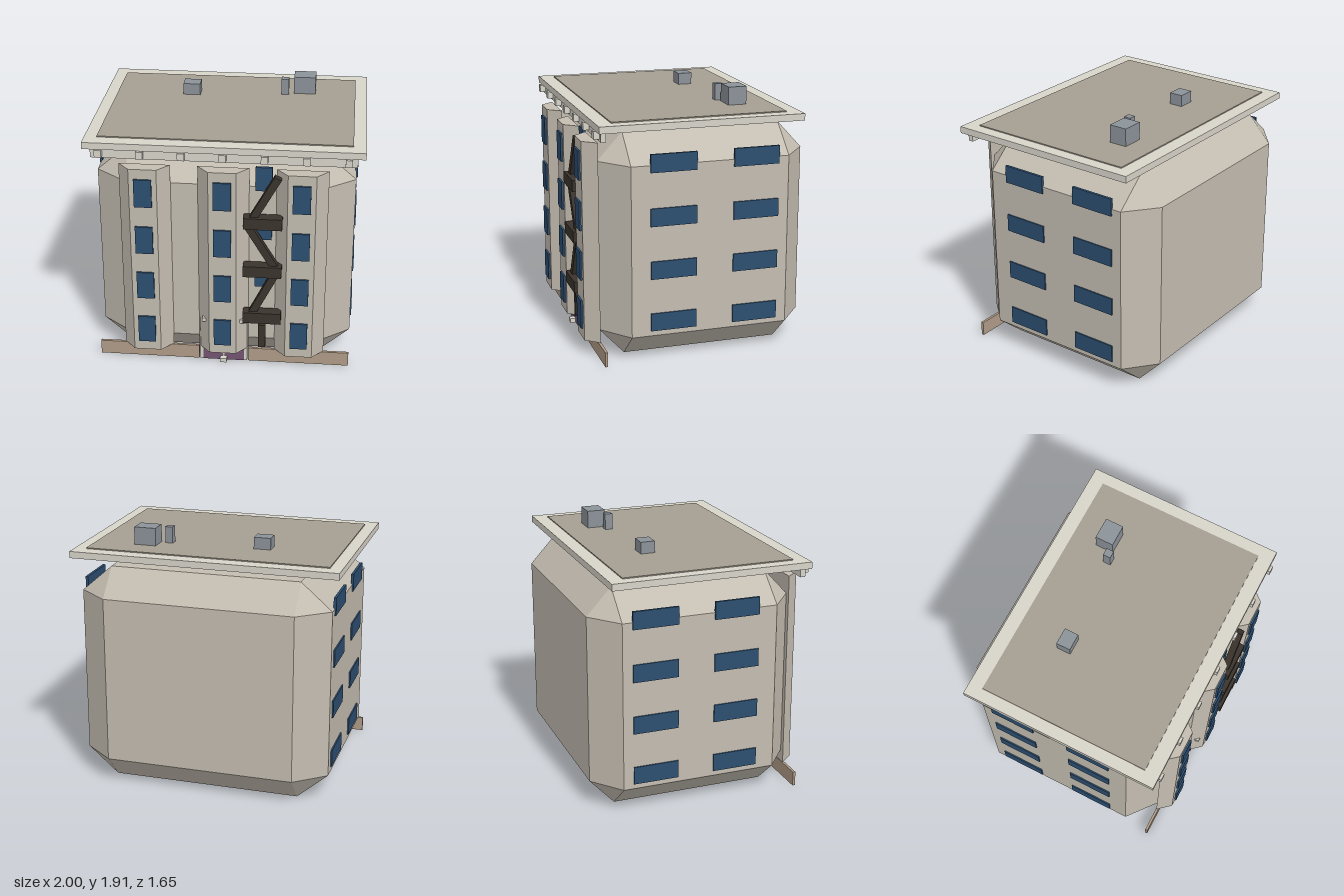
import * as THREE from 'three';
import { ConvexGeometry } from 'three/addons/geometries/ConvexGeometry.js';

const paint = (color) => new THREE.MeshStandardMaterial({ color, flatShading: true });

export function createModel() {
  const model = new THREE.Group();
  const wall = paint(0xc4bdb1), trim = paint(0xd8d4ca), roofing = paint(0xa69f92);
  const glass = paint(0x2c4e70), metal = paint(0x8b9299), iron = paint(0x3b342d);
  const stone = paint(0xb09c87), doorPaint = paint(0x735470);

  const add = (name, geometry, material) => {
    const mesh = new THREE.Mesh(geometry, material);
    mesh.name = name;
    model.add(mesh);
    return mesh;
  };
  // Box given by its extents on each axis
  const box = (name, material, [x0, x1], [y0, y1], [z0, z1]) => {
    const mesh = add(name, new THREE.BoxGeometry(x1 - x0, y1 - y0, z1 - z0), material);
    mesh.position.set((x0 + x1) / 2, (y0 + y1) / 2, (z0 + z1) / 2);
    return mesh;
  };

  // Main block: a box with every edge chamfered
  const half = [0.94, 0.83, 0.77], inner = [0.71, 0.63, 0.585];
  const corners = [];
  for (const sx of [-1, 1]) for (const sy of [-1, 1]) for (const sz of [-1, 1])
    for (let face = 0; face < 3; face++) {
      const [x, y, z] = inner.map((v, axis) => (axis === face ? half[axis] : v));
      corners.push(new THREE.Vector3(sx * x, sy * y, sz * z));
    }
  add('mainBlock', new ConvexGeometry(corners), wall).position.set(0, 0.83, -0.06);

  // Three front bays with splayed sides, each with a column of windows
  const plan = new THREE.Shape([[-0.185, -0.71], [-0.1, -0.81], [0.1, -0.81], [0.185, -0.71]]
    .map(([x, y]) => new THREE.Vector2(x, y)));
  const bayGeometry = new THREE.ExtrudeGeometry(plan, { depth: 1.49, bevelEnabled: false });
  bayGeometry.rotateX(-Math.PI / 2);
  for (const x of [-0.565, 0, 0.565]) {
    add('bay', bayGeometry, wall).position.set(x, 0.11, 0);
    for (let floor = 0; floor < 4; floor++) {
      const y = 0.188 + floor * 0.374;
      box('bayWindow', glass, [x - 0.064, x + 0.064], [y, y + 0.215], [0.8, 0.825]);
    }
  }

  // Windows behind the fire escape
  for (let i = 0; i < 3; i++) {
    const y = 0.65 + i * 0.39;
    box('recessWindow', glass, [0.23, 0.35], [y, y + 0.183], [0.7, 0.722]);
  }

  // Wide windows on both side walls
  for (const side of [-1, 1])
    for (let floor = 0; floor < 4; floor++)
      for (const z of [0.215, -0.4]) {
        const y = 0.238 + floor * 0.39;
        box('sideWindow', glass, [side * 0.94 - 0.01, side * 0.94 + 0.01], [y, y + 0.132], [z - 0.17, z + 0.17]);
      }

  // Roof slab, roofing sheet and rooftop units
  box('roofSlab', trim, [-1, 1], [1.72, 1.77], [-0.735, 0.762]);
  box('roofSheet', roofing, [-0.91, 0.91], [1.765, 1.778], [-0.63, 0.655]);
  box('ventUnit', metal, [-0.4, -0.272], [1.77, 1.865], [-0.31, -0.203]);
  box('chimney', metal, [0.345, 0.402], [1.77, 1.9], [-0.33, -0.272]);
  box('stairHouse', metal, [0.44, 0.605], [1.77, 1.91], [-0.44, -0.302]);

  // Cornice band and its brackets
  box('cornice', trim, [-0.945, 0.945], [1.648, 1.72], [0.7, 0.738]);
  for (let i = -3; i <= 3; i++) {
    const x = i * 0.2945;
    box('corniceBracket', trim, [x - 0.025, x + 0.025], [1.665, 1.72], [0.72, 0.78]);
  }

  // Street-level plinth on either side of the entrance
  for (const side of [-1, 1])
    box('plinth', stone, [side * 0.5625 - 0.3775, side * 0.5625 + 0.3775], [0, 0.11], [0.705, 0.725]);

  // Entrance: surround, double door, step and canopy
  box('doorSurround', trim, [-0.178, 0.178], [0, 0.36], [0.706, 0.722]);
  for (const side of [-1, 1])
    box('door', doorPaint, [side * 0.081 - 0.074, side * 0.081 + 0.074], [0, 0.34], [0.71, 0.728]);
  box('step', trim, [-0.025, 0.025], [0, 0.033], [0.722, 0.77]);
  box('canopy', trim, [-0.155, 0.183], [0.36, 0.39], [0.7, 0.78]);

  // Fire escape: landings, zigzag flights and drop ladder
  for (let i = 0; i < 3; i++) {
    const y = 0.393 + i * 0.389;
    box('landing', iron, [0.15, 0.43], [y, y + 0.087], [0.74, 0.825]);
  }
  const flights = [[0.395, 1.565, 0.205, 1.22], [0.17, 1.2, 0.405, 0.81], [0.405, 0.84, 0.205, 0.44]];
  for (const [x0, y0, x1, y1] of flights) {
    const flight = add('flight', new THREE.BoxGeometry(Math.hypot(x1 - x0, y1 - y0), 0.055, 0.05), iron);
    flight.position.set((x0 + x1) / 2, (y0 + y1) / 2, 0.775);
    flight.rotation.z = Math.atan2(y1 - y0, x1 - x0);
  }
  box('dropLadder', iron, [0.263, 0.318], [0.168, 0.358], [0.755, 0.79]);

  return model;
}
